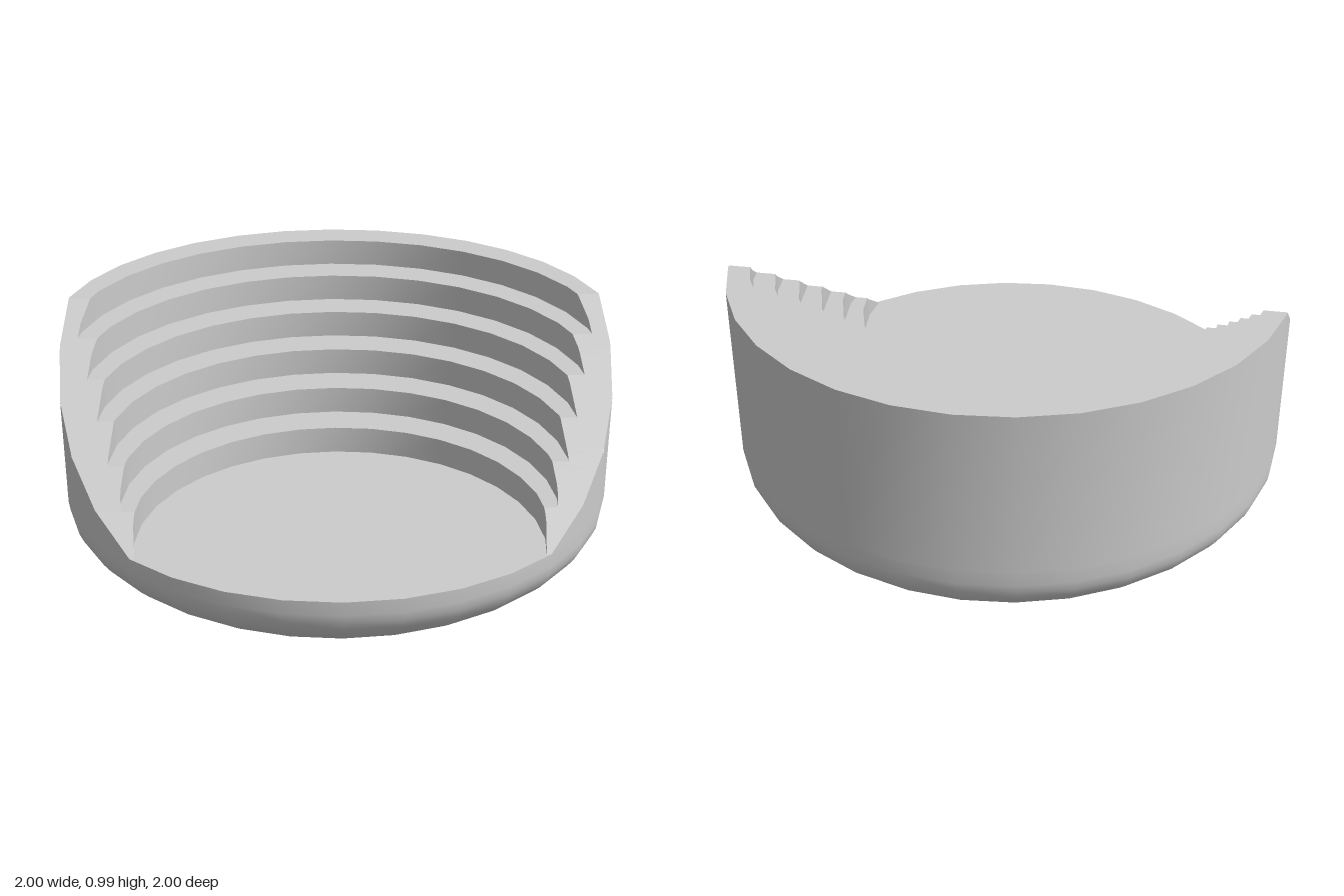
import * as THREE from 'three';

const SIDES = 32, FLOOR = 0.39, RISE = 0.1, STEPS = 6, TOP = FLOOR + RISE * STEPS;
const FRONT = 0.71, BACK = -0.18;                       // where the sloping cut starts and ends
const material = new THREE.MeshStandardMaterial({ color: 0xcccccc });

// height of the sloping cut at z, and its inverse
const cutY = z => FLOOR + (FRONT - z) / (FRONT - BACK) * (TOP - FLOOR);
const cutZ = y => FRONT - (y - FLOOR) / (TOP - FLOOR) * (FRONT - BACK);

// part of a many-sided circle (centre z = c, radius r) behind z = cut, from -x round the back to +x
function arc({ c, r }, cut) {
  const half = [];
  for (let i = 0; i <= SIDES / 2; i++) {
    const a = i * 2 * Math.PI / SIDES;
    const p = { x: r * Math.sin(a), z: c - r * Math.cos(a) };
    if (p.z >= cut) {
      const q = half[half.length - 1], t = (cut - q.z) / (p.z - q.z);
      half.push({ x: q.x + (p.x - q.x) * t, z: cut });
      break;
    }
    half.push(p);
  }
  return [...half.slice(1).reverse().map(p => ({ x: -p.x, z: p.z })), ...half];
}

const halfWidth = (circle, z) => arc(circle, z).at(-1).x;

// band of quads between two rows of points
function strip(a, b) {
  const g = new THREE.BufferGeometry(), n = a.length, index = [];
  g.setAttribute('position', new THREE.Float32BufferAttribute([...a, ...b].flat(), 3));
  for (let i = 0; i < n - 1; i++) index.push(i, i + 1, n + i + 1, i, n + i + 1, n + i);
  g.setIndex(index);
  g.computeVertexNormals();
  return g;
}

// curved wall from y0 to y1, trimmed by the sloping cut
function wall(circle, y0, y1, outward) {
  const hi = cutZ(y1), ends = arc(circle, cutZ(y0)).filter(p => p.z > hi + 1e-6);
  const cols = [...ends.filter(p => p.x < 0), ...arc(circle, hi), ...ends.filter(p => p.x > 0)];
  const bottom = cols.map(p => [p.x, y0, p.z]);
  const top = cols.map(p => [p.x, Math.min(y1, cutY(p.z)), p.z]);
  return outward ? strip(top, bottom) : strip(bottom, top);
}

export function createModel() {
  const group = new THREE.Group();
  const add = (name, geometry) => {
    const mesh = new THREE.Mesh(geometry, material);
    mesh.name = name;
    group.add(mesh);
    return mesh;
  };

  // rounded underside
  const profile = [];
  for (let i = 0; i <= 16; i++) {
    const a = i / 16 * Math.PI / 2;
    profile.push(new THREE.Vector2(Math.sin(a), 0.34 * (1 - Math.cos(a))));
  }
  profile.push(new THREE.Vector2(1, FLOOR));
  add('roundedBase', new THREE.LatheGeometry(profile, SIDES));

  // flat stage
  const stage = add('stage', new THREE.CircleGeometry(1, SIDES));
  stage.rotation.x = -Math.PI / 2;
  stage.position.y = FLOOR;

  // outer wall
  const outer = { c: 0, r: 1 };
  add('outerWall', wall(outer, FLOOR, TOP, true));

  // stepped seating: each ring is wider and further back
  const ring = k => k < STEPS ? { c: 0.6 - 0.1 * k, r: 0.7 + 0.05 * k } : outer;
  for (let k = 0; k < STEPS; k++) {
    const y0 = FLOOR + RISE * k, y1 = y0 + RISE, z0 = cutZ(y0), z1 = cutZ(y1);
    add('riser' + (k + 1), wall(ring(k), y0, y1, false));

    const outline = [...arc(ring(k + 1), z1), ...arc(ring(k), z1).reverse()];
    const shape = new THREE.Shape(outline.map(p => new THREE.Vector2(p.x, -p.z)));
    const tread = add(k < STEPS - 1 ? 'tread' + (k + 1) : 'rim', new THREE.ShapeGeometry(shape));
    tread.rotation.x = -Math.PI / 2;
    tread.position.y = y1;

    // sloping ends of the side walls
    for (const side of [1, -1]) {
      const row = circle => Array.from({ length: 7 }, (_, i) => {
        const z = z1 + (z0 - z1) * i / 6;
        return [side * halfWidth(circle, z), cutY(z), z];
      });
      const inside = row(ring(k)), outside = row(outer);
      add((side > 0 ? 'left' : 'right') + 'Slope' + (k + 1),
        side > 0 ? strip(inside, outside) : strip(outside, inside));
    }
  }
  return group;
}
